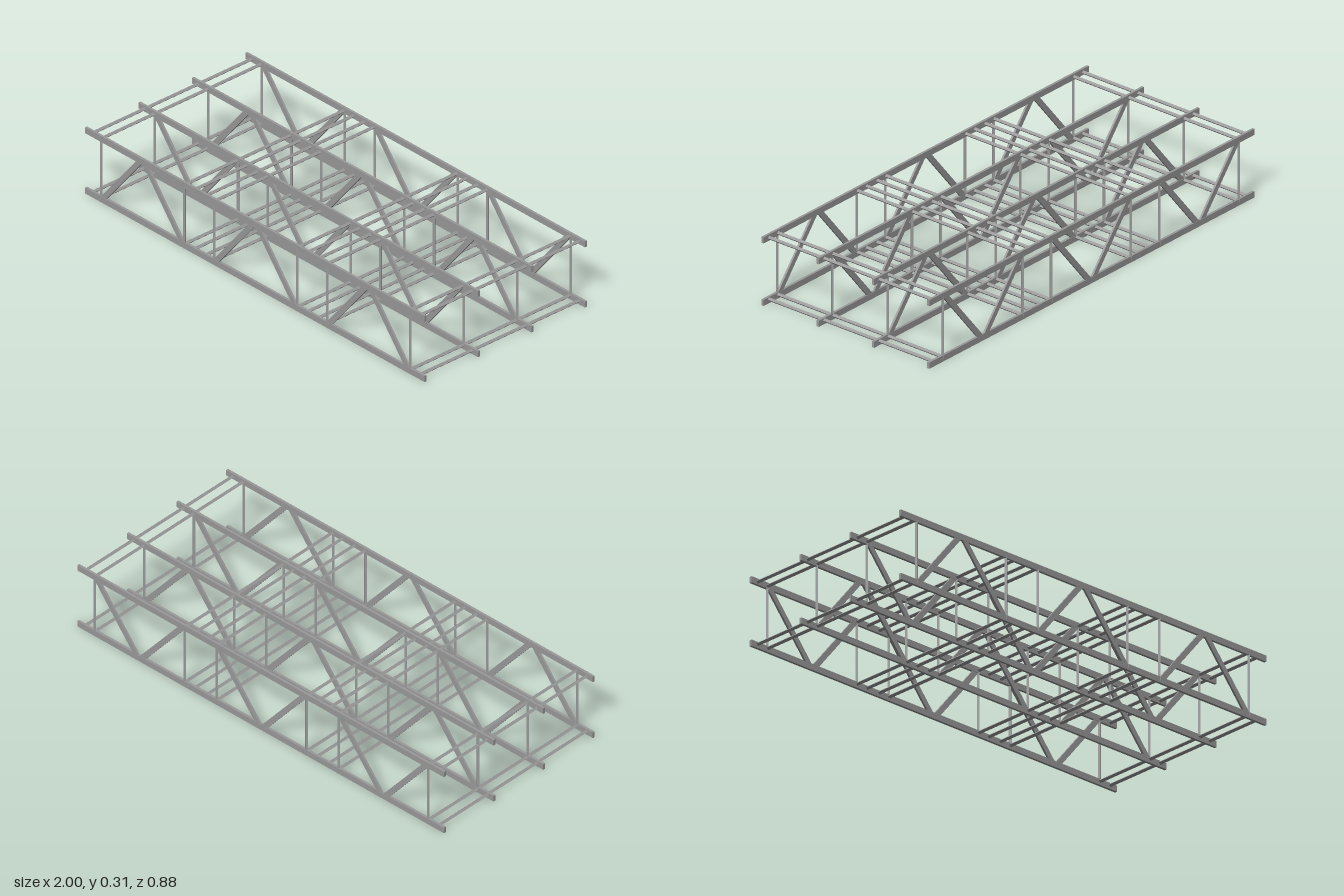
import * as THREE from 'three';

export function createModel() {
  const model = new THREE.Group();
  model.name = 'trussDeck';
  const steel = new THREE.MeshStandardMaterial({ color: 0x999999, flatShading: true });
  steel.name = 'steelGrey';

  const HEIGHT = 0.305, RAIL_H = 0.027, THICK = 0.011;
  const frameZ = [0.432, 0.144, -0.144, -0.432];
  const bays = [[-0.91, -0.42], [-0.245, 0.245], [0.42, 0.91]];

  const add = (parent, geometry, name, x, y, z) => {
    const mesh = new THREE.Mesh(geometry, steel);
    mesh.name = name;
    mesh.position.set(x, y, z);
    parent.add(mesh);
    return mesh;
  };

  const railGeo = new THREE.BoxGeometry(2, RAIL_H, THICK);
  const postGeo = new THREE.CylinderGeometry(0.007, 0.007, 0.275, 4);
  const rodGeo = new THREE.CylinderGeometry(0.0083, 0.0083, 0.864, 4).rotateX(Math.PI / 2);

  // Flat diagonal brace between two points of a frame
  const brace = (parent, x0, y0, x1, y1) => {
    const dx = x1 - x0, dy = y1 - y0;
    const geo = new THREE.BoxGeometry(Math.hypot(dx, dy), 0.024, 0.009);
    add(parent, geo, 'diagonalBrace', (x0 + x1) / 2, (y0 + y1) / 2, 0).rotation.z = Math.atan2(dy, dx);
  };

  // Upright frames: two rails, posts and alternating braces
  frameZ.forEach((z, i) => {
    const frame = new THREE.Group();
    frame.name = 'sideFrame' + (i + 1);
    frame.position.z = z;
    model.add(frame);
    add(frame, railGeo, 'topRail', 0, HEIGHT - RAIL_H / 2, 0);
    add(frame, railGeo, 'bottomRail', 0, RAIL_H / 2, 0);
    const peakUp = i % 2 === 0;
    const yEnd = peakUp ? 0.02 : 0.285, yMid = peakUp ? 0.285 : 0.02;
    for (const [a, b] of bays) {
      const mid = (a + b) / 2;
      add(frame, postGeo, 'post', a, 0.1475, 0);
      add(frame, postGeo, 'post', b, 0.1475, 0);
      brace(frame, a + 0.012, yEnd, mid - 0.015, yMid);
      brace(frame, mid + 0.015, yMid, b - 0.012, yEnd);
    }
  });

  // Cross rods tying the frames together, top and bottom
  for (const x of [0.965, 0.91, 0.42, 0.365, 0.3, 0.245]) {
    for (const side of [-1, 1]) {
      add(model, rodGeo, 'topCrossRod', side * x, 0.291, 0);
      add(model, rodGeo, 'bottomCrossRod', side * x, 0.0175, 0);
    }
  }
  return model;
}
